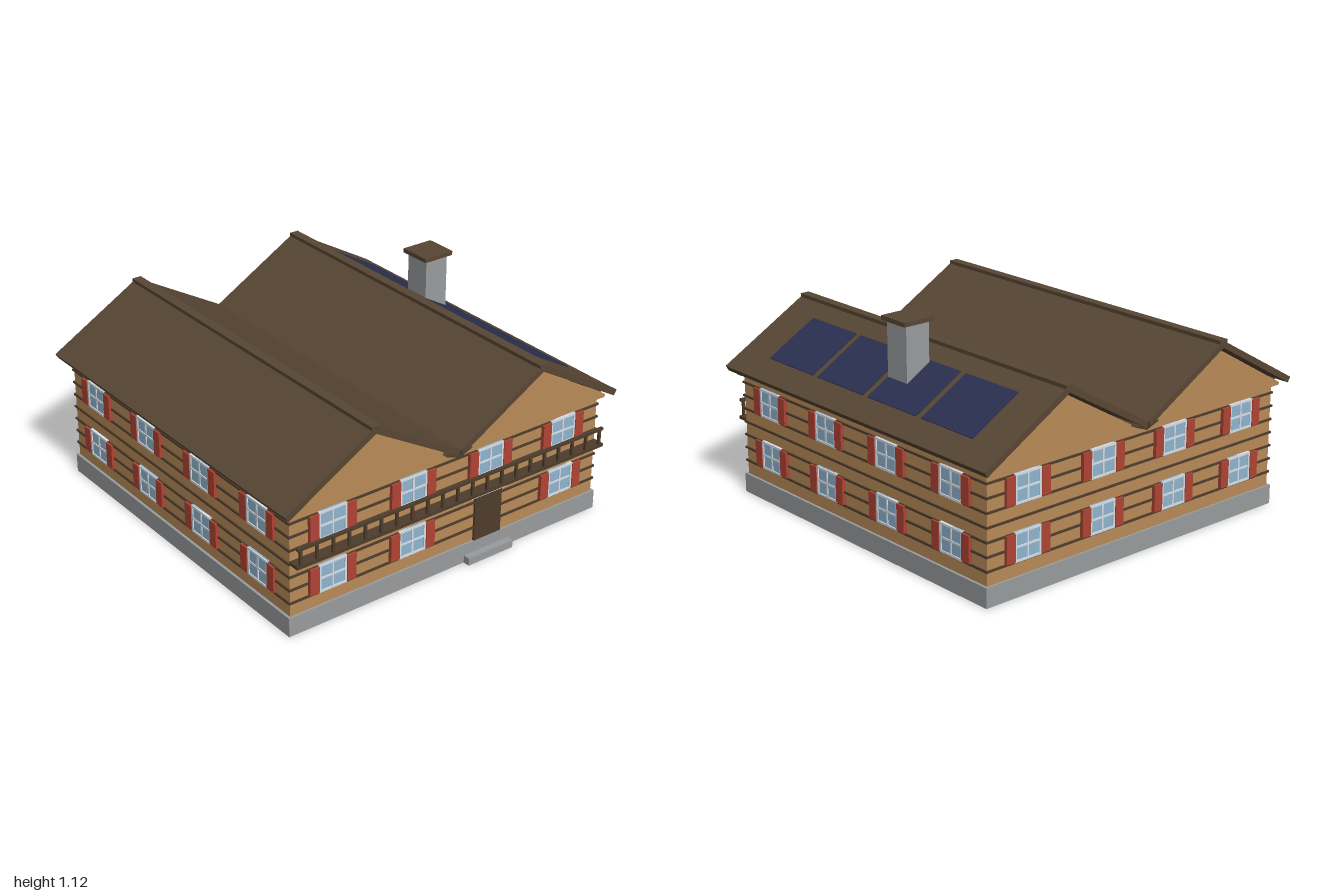
import * as THREE from 'three';

const mat = (name, color) => {
  const m = new THREE.MeshStandardMaterial({ color });
  m.name = name;
  return m;
};

export function createModel() {
  const timber = mat('timber', 0xb98b59);
  const roofBrown = mat('roof brown', 0x584634);
  const darkWood = mat('dark wood', 0x4e3d2c);
  const stone = mat('stone', 0x999c9e);
  const white = mat('frame white', 0xd8dfe7);
  const glass = mat('glass blue', 0x8fb6d0);
  const red = mat('shutter red', 0xb04434);
  const navy = mat('panel navy', 0x2a3050);

  const model = new THREE.Group();
  model.name = 'chalet';

  // Box given by its extents along each axis
  function box(parent, name, material, [x0, x1], [y0, y1], [z0, z1]) {
    const mesh = new THREE.Mesh(new THREE.BoxGeometry(x1 - x0, y1 - y0, z1 - z0), material);
    mesh.position.set((x0 + x1) / 2, (y0 + y1) / 2, (z0 + z1) / 2);
    mesh.name = name;
    parent.add(mesh);
    return mesh;
  }

  // Polygon in the xy plane, extruded from z0 to z1
  function prism(parent, name, material, points, z0, z1) {
    const shape = new THREE.Shape(points.map(([x, y]) => new THREE.Vector2(x, y)));
    const geo = new THREE.ExtrudeGeometry(shape, { depth: z1 - z0, bevelEnabled: false });
    const mesh = new THREE.Mesh(geo, material);
    mesh.position.z = z0;
    mesh.name = name;
    parent.add(mesh);
    return mesh;
  }

  // Base, doorstep and log walls
  box(model, 'foundation', stone, [-0.947, 0.947], [0, 0.1], [-0.945, 0.945]);
  box(model, 'doorstep', stone, [0.09, 0.37], [0, 0.04], [0.94, 0.982]);
  const W = 0.933;
  box(model, 'walls', timber, [-W, W], [0.1, 0.645], [-W, W]);
  for (let i = 0; i < 7; i++) {
    const y = 0.172 + i * 0.07;
    box(model, 'logSeam', darkWood, [-0.941, 0.941], [y - 0.005, y + 0.005], [-0.941, 0.941]);
  }

  // Window with cross bars and two shutters, facing +z
  function addWindow(parent, x, y) {
    const g = new THREE.Group();
    g.name = 'window';
    g.position.set(x, y, 0);
    parent.add(g);
    const w = 0.079, h = 0.074, t = 0.011;
    box(g, 'pane', glass, [-w, w], [-h, h], [W - 0.005, 0.943]);
    for (const s of [-1, 1]) {
      const cx = s * (w - t / 2), cy = s * (h - t / 2);
      box(g, 'frameSide', white, [cx - t / 2, cx + t / 2], [-h, h], [W, 0.948]);
      box(g, 'frameRail', white, [-w + t, w - t], [cy - t / 2, cy + t / 2], [W, 0.948]);
      const sx = s * 0.105;
      box(g, 'shutter', red, [sx - 0.026, sx + 0.026], [-0.068, 0.068], [W, 0.952]);
    }
    box(g, 'verticalBar', white, [-0.005, 0.005], [-h + t, h - t], [W, 0.947]);
    box(g, 'crossBar', white, [-w + t, w - t], [-0.005, 0.005], [W, 0.947]);
  }

  // Two rows of four windows per side; the door takes one place at the front
  ['front', 'left', 'back', 'right'].forEach((name, side) => {
    const g = new THREE.Group();
    g.name = name + 'Windows';
    g.rotation.y = side * Math.PI / 2;
    model.add(g);
    for (const y of [0.247, 0.525])
      [-0.7, -0.235, 0.235, 0.7].forEach((x, i) => {
        if (!(side === 0 && i === 2 && y < 0.4)) addWindow(g, x, y);
      });
  });

  // Door and lintel
  box(model, 'door', darkWood, [0.15, 0.318], [0.1, 0.342], [W, 0.944]);
  box(model, 'lintel', white, [0.122, 0.34], [0.342, 0.365], [W, 0.952]);

  // Balcony
  const balcony = new THREE.Group();
  balcony.name = 'balcony';
  model.add(balcony);
  box(balcony, 'balconyFloor', darkWood, [-0.935, 0.935], [0.38, 0.396], [W, 0.995]);
  box(balcony, 'handrail', darkWood, [-0.93, 0.93], [0.473, 0.487], [0.979, 0.995]);
  for (let i = 0; i <= 20; i++) {
    const x = -0.912 + i * 0.0912;
    box(balcony, 'baluster', darkWood, [x - 0.007, x + 0.007], [0.396, 0.474], [0.981, 0.993]);
  }

  // Twin gabled roofs
  for (const c of [-0.5, 0.5]) {
    const at = (pts) => pts.map(([x, y]) => [x + c, y]);
    const chevron = (up) => at([
      [-0.5, 0.675 + up], [-0.484, 0.649], [0, 0.928], [0.484, 0.649],
      [0.5, 0.675 + up], [0, 0.963 + up],
    ]);
    prism(model, 'roof', roofBrown, chevron(0), -0.997, 0.97);
    prism(model, 'bargeboard', roofBrown, chevron(0.002), 0.97, 0.997);
    box(model, 'ridgeCap', roofBrown, [c - 0.025, c + 0.025], [0.93, 0.967], [-0.998, 0.998]);
    const gable = at([[-0.46, 0.632], [0.46, 0.632], [0.465, 0.645], [0, 0.916], [-0.465, 0.645]]);
    prism(model, 'frontGable', timber, gable, 0.92, 0.957);
    prism(model, 'backGable', timber, gable, -0.957, -0.92);
    const e = Math.sign(c) * 0.942;
    box(model, 'eaveBeam', darkWood, [e - 0.018, e + 0.018], [0.643, 0.662], [-0.93, 0.93]);
  }
  prism(model, 'valleyGutter', darkWood, [[-0.08, 0.662], [0, 0.632], [0.08, 0.662]], -0.99, 0.99);

  // Chimney
  box(model, 'chimney', stone, [0.625, 0.76], [0.72, 1.102], [-0.168, -0.025]);
  box(model, 'chimneyCap', roofBrown, [0.606, 0.783], [1.1, 1.122], [-0.185, -0.01]);

  // Solar panels lying on the outer right slope
  const slope = Math.atan2(0.288, 0.5);
  for (let i = 0; i < 4; i++) {
    const panel = new THREE.Mesh(new THREE.BoxGeometry(0.312, 0.008, 0.36), navy);
    panel.name = 'solarPanel';
    panel.position.set(0.747, 0.8215, -0.6 + i * 0.397);
    panel.rotation.z = -slope;
    model.add(panel);
  }

  return model;
}
